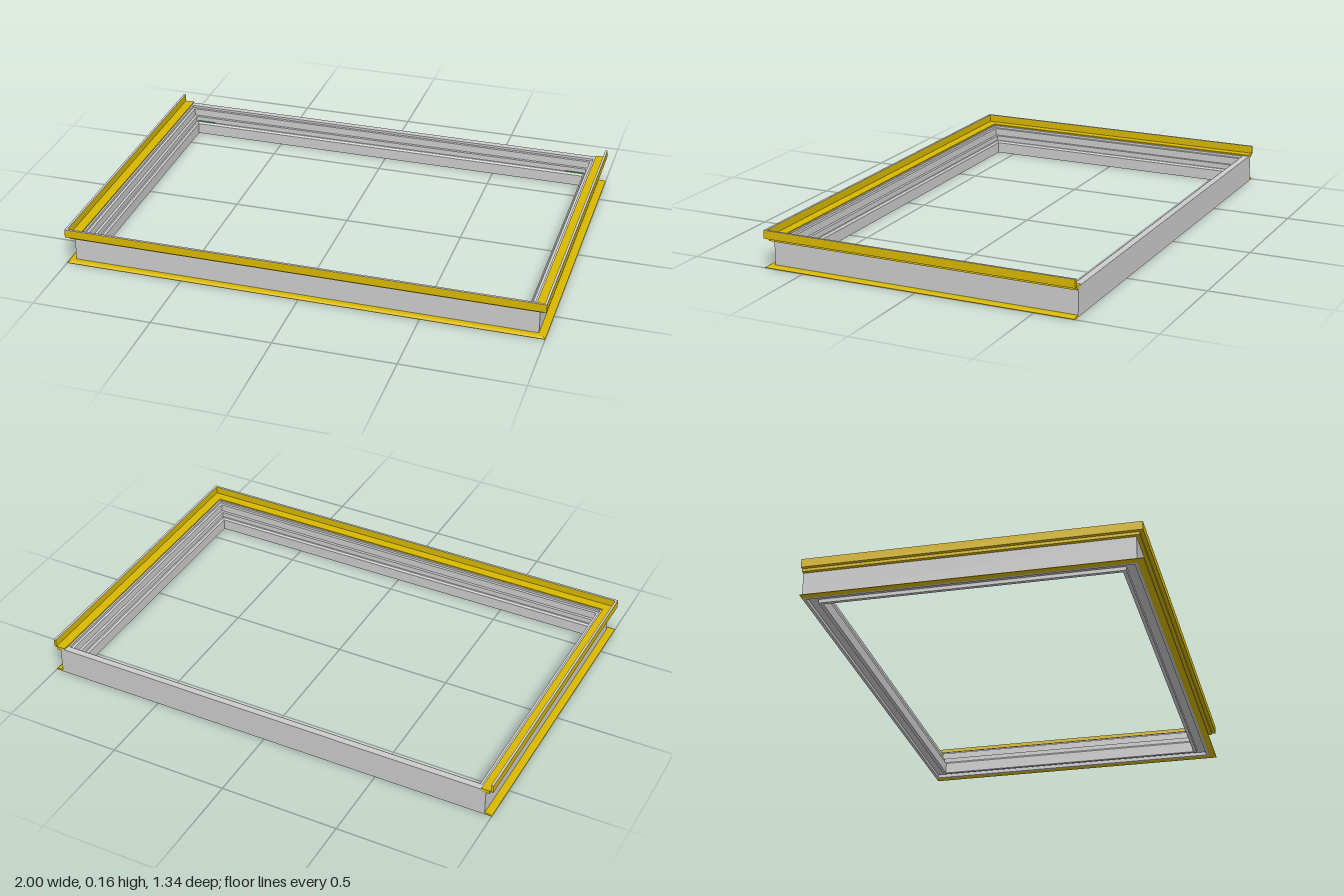
import * as THREE from 'three';

// Outer wall planes of the frame; the back is flush and carries no trim
const WALL_X = 0.97, FRONT = 0.645, BACK = -0.667;

const grey = new THREE.MeshStandardMaterial({ color: 0xcccccc, flatShading: true, side: THREE.DoubleSide });
const yellow = new THREE.MeshStandardMaterial({ color: 0xd8b800, flatShading: true, side: THREE.DoubleSide });
const green = new THREE.MeshStandardMaterial({ color: 0x30b040 });

// Mitred corner positions for a given inset d from the outer wall
const closedPath = d => [
  [-WALL_X + d, BACK + d], [-WALL_X + d, FRONT - d],
  [WALL_X - d, FRONT - d], [WALL_X - d, BACK + d],
];
const openPath = d => [
  [-WALL_X + d, BACK], [-WALL_X + d, FRONT - d],
  [WALL_X - d, FRONT - d], [WALL_X - d, BACK],
];

// Sweeps a section of [inset, height] points, listed up the outside and down the inside
function sweep(name, section, closed, material) {
  const path = closed ? closedPath : openPath;
  const rows = section.map(([d, y]) => path(d).map(([x, z]) => [x, y, z]));
  const out = [];
  const tri = (a, b, c) => out.push(...a, ...b, ...c);
  const n = section.length;
  for (let i = 0; i < (closed ? 4 : 3); i++) {
    const j = (i + 1) % 4;
    for (let k = 0; k < n; k++) {
      const a = rows[k], b = rows[(k + 1) % n];
      tri(a[i], a[j], b[j]);
      tri(a[i], b[j], b[i]);
    }
  }
  // Flat ends where the run stops at the back
  if (!closed) {
    const faces = THREE.ShapeUtils.triangulateShape(section.map(p => new THREE.Vector2(...p)), []);
    for (const [a, b, c] of faces) {
      for (const end of [0, 3]) tri(rows[a][end], rows[b][end], rows[c][end]);
    }
  }
  const geometry = new THREE.BufferGeometry();
  geometry.setAttribute('position', new THREE.Float32BufferAttribute(out, 3));
  geometry.computeVertexNormals();
  const mesh = new THREE.Mesh(geometry, material);
  mesh.name = name;
  return mesh;
}

export function createModel() {
  const model = new THREE.Group();
  model.name = 'mountingFrame';

  // Four-sided body with a stepped inner face and a channel underneath
  model.add(sweep('frameBody', [
    [0, 0], [0, 0.12], [0.028, 0.12], [0.028, 0.11], [0.04, 0.11], [0.04, 0.078],
    [0.052, 0.078], [0.052, 0.056], [0.058, 0.056], [0.065, 0.048], [0.065, 0],
    [0.05, 0], [0.05, 0.015], [0.012, 0.015], [0.012, 0],
  ], true, grey));

  // Stepped ledge with a raised outer lip on the front and both sides
  model.add(sweep('topTrim', [
    [-0.015, 0.11], [-0.015, 0.122], [-0.03, 0.122], [-0.03, 0.156],
    [-0.02, 0.156], [-0.02, 0.125], [0.02, 0.125], [0.02, 0.11],
  ], false, yellow));

  // Thin cap along the lip
  model.add(sweep('lipCap', [
    [-0.03, 0.156], [-0.03, 0.157], [-0.02, 0.157], [-0.02, 0.156],
  ], false, grey));

  // Tapered foot flange on the same three sides
  model.add(sweep('bottomFlange', [
    [-0.03, 0], [-0.03, 0.002], [-0.02, 0.008], [0.002, 0.008], [0.002, 0],
  ], false, yellow));

  // Small corner seals on the inner ledge at the back
  for (const side of [-1, 1]) {
    const seal = new THREE.Mesh(new THREE.BoxGeometry(0.085, 0.004, 0.005), green);
    seal.name = side > 0 ? 'leftCornerSeal' : 'rightCornerSeal';
    seal.position.set(side * 0.868, 0.057, BACK + 0.0555);
    model.add(seal);
  }
  return model;
}
